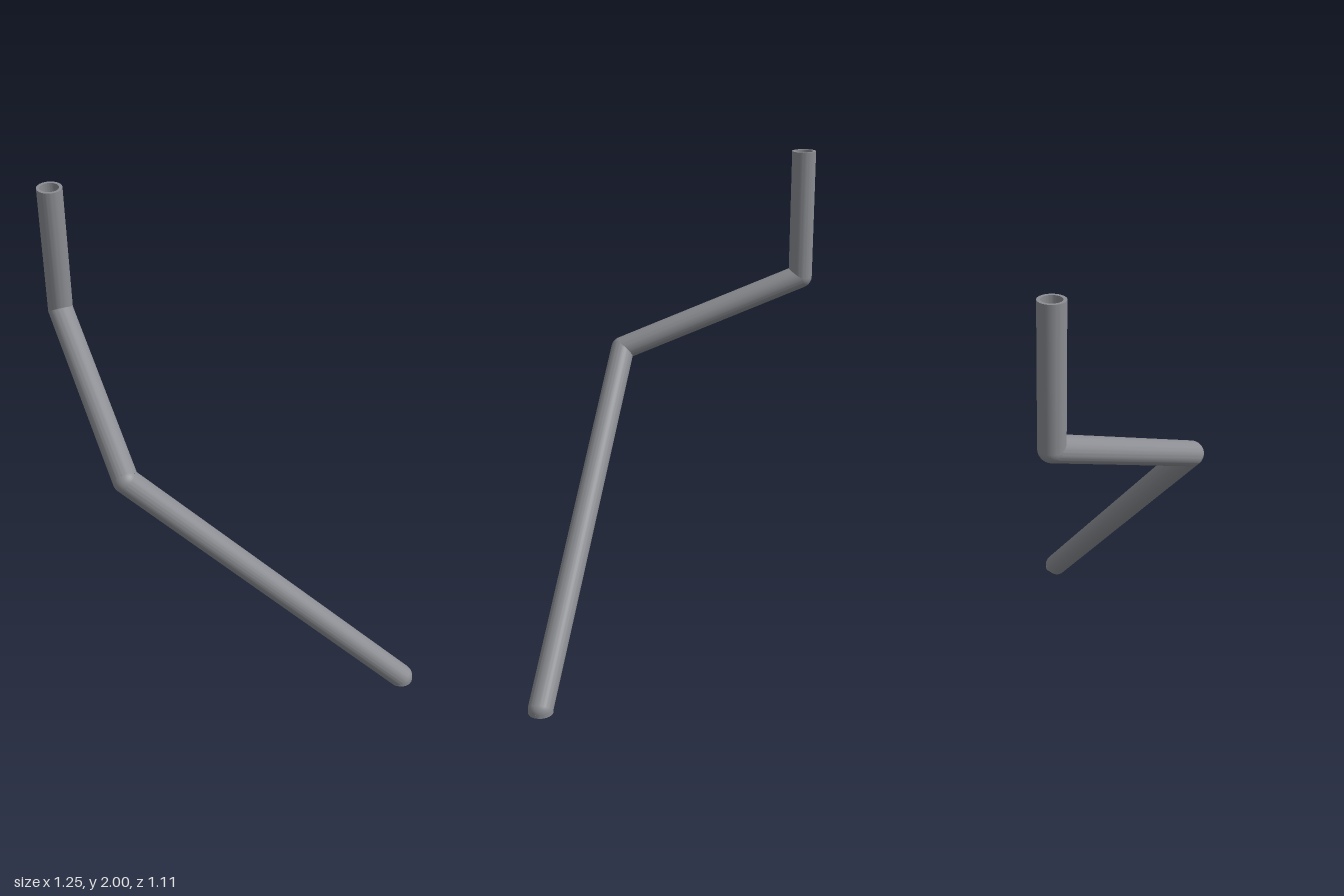
import * as THREE from 'three';
import { toCreasedNormals } from 'three/addons/utils/BufferGeometryUtils.js';

const OUTER = 0.0495, BORE = 0.037, SIDES = 48;
const material = new THREE.MeshStandardMaterial({ color: 0x8b8d92, side: THREE.DoubleSide });

// Centreline of the pipe, from the open top to the short stub at the foot
const path = [
  [-0.578, 2, -0.508], [-0.578, 1.469, -0.508], [-0.505, 1.162, 0.251],
  [0.577, 0.035, 0.506], [0.577, 0.02, 0.506],
].map(p => new THREE.Vector3(...p));

const direction = i => path[i + 1].clone().sub(path[i]).normalize();

// Part of f at right angles to e, unit length
const across = (e, f) => f.clone().addScaledVector(e, -f.dot(e)).normalize();

// Cuts the inner side of a bend back to the mitre plane
function mitre(geometry, joint, e, f) {
  const b = across(e, f), tan = Math.tan(e.angleTo(f) / 2);
  const pos = geometry.attributes.position, v = new THREE.Vector3();
  for (let i = 0; i < pos.count; i++) {
    v.fromBufferAttribute(pos, i);
    const o = v.clone().sub(joint);
    if (Math.abs(o.dot(e)) > 0.001) continue;
    v.addScaledVector(e, -Math.max(0, o.dot(b)) * tan);
    pos.setXYZ(i, v.x, v.y, v.z);
  }
}

// Straight hollow length between two path points
function straight(i) {
  const d = direction(i), length = path[i].distanceTo(path[i + 1]);
  const profile = [[BORE, 0], [OUTER, 0], [OUTER, length], [BORE, length], [BORE, 0]]
    .map(p => new THREE.Vector2(...p));
  const geometry = new THREE.LatheGeometry(profile, SIDES);
  geometry.applyQuaternion(new THREE.Quaternion().setFromUnitVectors(new THREE.Vector3(0, 1, 0), d));
  geometry.translate(...path[i].toArray());
  // The foot stub is too short to mitre, so the last joint stays square
  if (i === 1 || i === 2) mitre(geometry, path[i], d.clone().negate(), direction(i - 1).negate());
  if (i === 0 || i === 1) mitre(geometry, path[i + 1], d, direction(i + 1));
  return new THREE.Mesh(toCreasedNormals(geometry, 0.6), material);
}

// Rounded outer side of a bend: a slice of a sphere, for the skin and the bore
function elbow(i) {
  const d1 = direction(i - 1), d2 = direction(i), b = across(d1, d2);
  const group = new THREE.Group();
  for (const [name, radius] of [['elbowSkin', OUTER], ['elbowBore', BORE]]) {
    const geometry = new THREE.SphereGeometry(radius, 12, 24, 0, d1.angleTo(d2));
    geometry.applyMatrix4(new THREE.Matrix4().makeBasis(b, d1.clone().cross(b), d1));
    const mesh = new THREE.Mesh(geometry, material);
    mesh.name = name;
    group.add(mesh);
  }
  group.position.copy(path[i]);
  return group;
}

export function createModel() {
  const model = new THREE.Group();
  model.name = 'bentPipe';
  ['upperPipe', 'middlePipe', 'lowerPipe', 'footStub'].forEach((name, i) => {
    const mesh = straight(i);
    mesh.name = name;
    model.add(mesh);
  });
  ['upperElbow', 'middleElbow', 'footElbow'].forEach((name, i) => {
    const group = elbow(i + 1);
    group.name = name;
    model.add(group);
  });
  return model;
}
